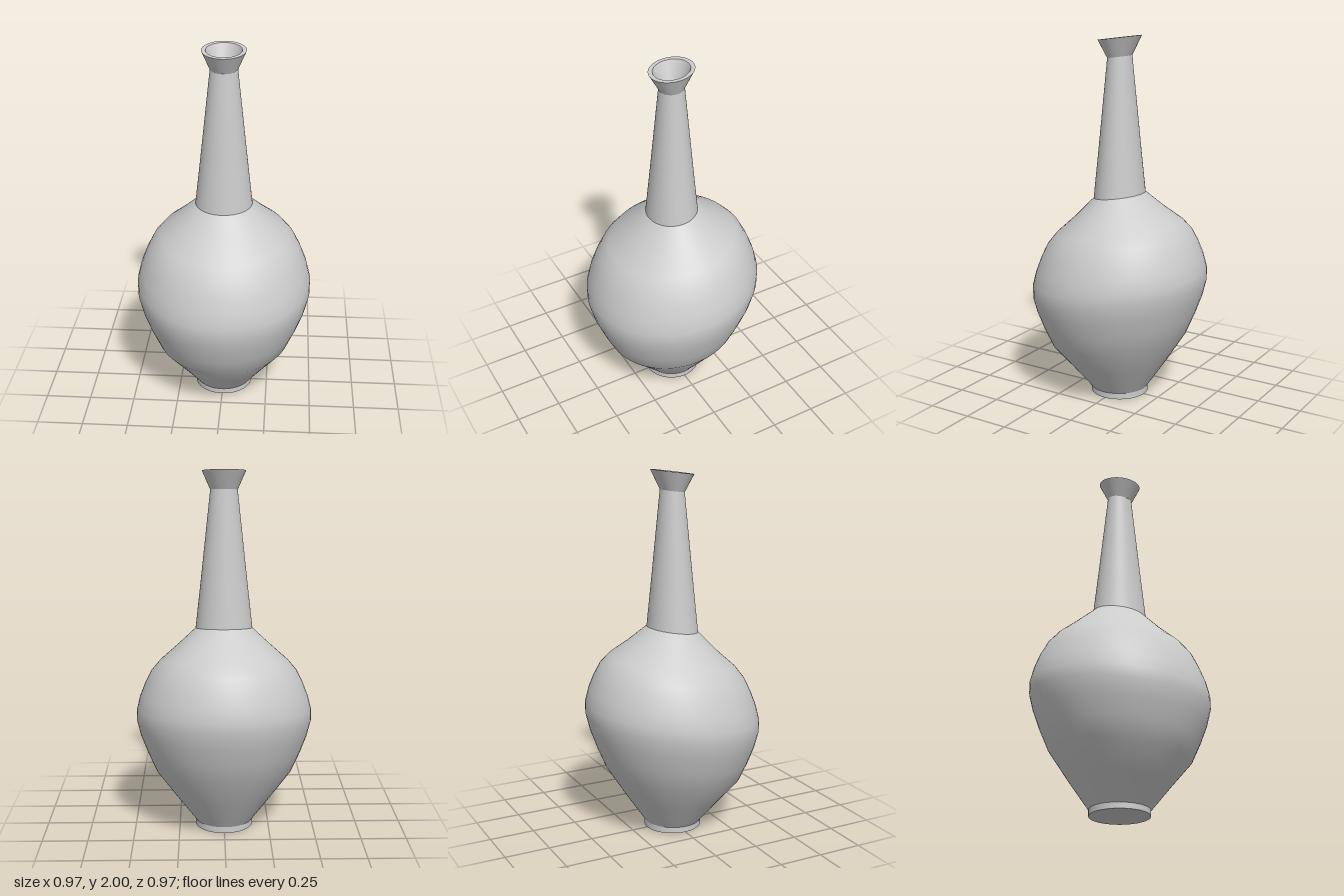
import * as THREE from 'three';
import { mergeVertices } from 'three/addons/utils/BufferGeometryUtils.js';

const SEGMENTS = 64;

// Rings lean down towards the front; the foot stays level.
const tilt = (y) => 0.13 * Math.min(1, y / 0.3);

// The neck is slightly oval, the body and lip are round.
const depthScale = (y) => {
  const rise = THREE.MathUtils.clamp((y - 0.95) / 0.19, 0, 1);
  const fall = THREE.MathUtils.clamp((1.985 - y) / 0.1, 0, 1);
  return 1 - 0.12 * Math.min(rise, fall);
};

// Turns a profile of [radius, height] pairs, then makes it oval and leaning.
function turned(name, profile, material) {
  const points = profile.map(([r, y]) => new THREE.Vector2(r, y));
  let geometry = new THREE.LatheGeometry(points, SEGMENTS);
  const pos = geometry.attributes.position;
  for (let i = 0; i < pos.count; i++) {
    const y = pos.getY(i);
    const z = pos.getZ(i) * depthScale(y);
    pos.setZ(i, z);
    pos.setY(i, y - z * tilt(y));
  }
  geometry.deleteAttribute('uv');
  geometry.deleteAttribute('normal');
  geometry = mergeVertices(geometry, 1e-5);
  geometry.computeVertexNormals();
  const mesh = new THREE.Mesh(geometry, material);
  mesh.name = name;
  return mesh;
}

export function createModel() {
  const group = new THREE.Group();
  group.name = 'vase';
  const material = new THREE.MeshStandardMaterial({ color: 0xcccccc });

  // Each part is its own smooth surface, so the edges between them stay sharp.
  const parts = {
    base: [[0, 0], [0.16, 0]],
    foot: [[0.16, 0], [0.16, 0.033]],
    body: [
      [0.16, 0.033], [0.27, 0.178], [0.378, 0.322], [0.425, 0.43], [0.462, 0.53],
      [0.483, 0.615], [0.483, 0.68], [0.464, 0.755], [0.435, 0.83], [0.4, 0.9],
      [0.352, 0.958], [0.26, 1.04], [0.155, 1.138],
    ],
    neck: [[0.155, 1.138], [0.127, 1.387], [0.1, 1.636], [0.073, 1.885]],
    lip: [[0.073, 1.885], [0.117, 1.985]],
    rim: [[0.117, 1.985], [0.095, 1.985]],
    mouth: [[0.095, 1.985], [0.056, 1.89]],
    neckInside: [[0.056, 1.89], [0.135, 1.14]],
    bodyInside: [
      [0.135, 1.14], [0.335, 0.94], [0.415, 0.82], [0.46, 0.68], [0.46, 0.615],
      [0.36, 0.335], [0.14, 0.04],
    ],
    floor: [[0.14, 0.04], [0, 0.04]],
  };
  for (const [name, profile] of Object.entries(parts)) {
    group.add(turned(name, profile, material));
  }
  return group;
}
